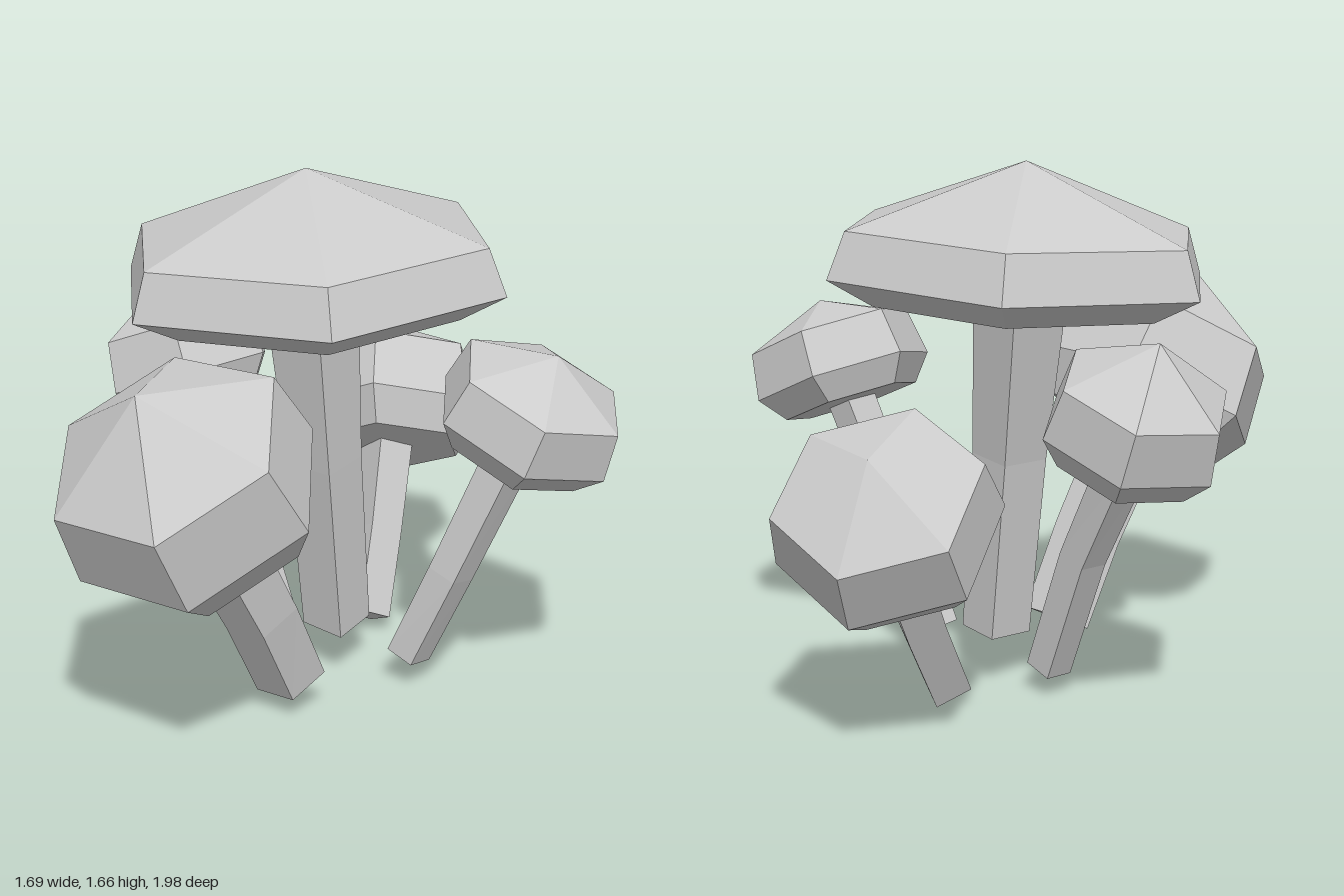
import * as THREE from 'three';

const material = new THREE.MeshStandardMaterial({ color: 0xcccccc, flatShading: true });
const vec = (a) => new THREE.Vector3(a[0], a[1], a[2]);

// Hexagonal cap: peaked top, flaring side band, bevel below and flat underside.
// turn is the compass heading of one corner, in degrees.
function makeCap({ centre, lean, turn, radius, peak, band }) {
  const profile = [
    [0, -1.57 * band], [0.83 * radius, -1.57 * band], [1.09 * radius, -band], [radius, 0], [0, peak],
  ].map(([r, y]) => new THREE.Vector2(r, y));
  const angle = THREE.MathUtils.degToRad(turn);
  const y = new THREE.Vector3(lean[0], 1, lean[1]).normalize();
  const z = new THREE.Vector3(Math.sin(angle), 0, Math.cos(angle));
  z.y = -(lean[0] * z.x + lean[1] * z.z);
  z.normalize();
  const x = new THREE.Vector3().crossVectors(y, z);
  const geometry = new THREE.LatheGeometry(profile, 6).toNonIndexed();
  geometry.applyMatrix4(new THREE.Matrix4().makeBasis(x, y, z).setPosition(vec(centre)));
  geometry.computeVertexNormals();
  const mesh = new THREE.Mesh(geometry, material);
  mesh.name = 'cap';
  return mesh;
}

// Four-sided stem, bent once at the knee and running up into the cap.
function makeStem({ centre, lean, band, base, knee, width, taper = 1.1, twist = 0 }) {
  const axis = new THREE.Vector3(lean[0], 1, lean[1]).normalize();
  const points = [vec(base), vec(knee), vec(centre).addScaledVector(axis, -1.4 * band)];
  const angle = THREE.MathUtils.degToRad(twist);
  const side = new THREE.Vector3(Math.cos(angle), 0, Math.sin(angle));
  const rings = points.map((p, i) => {
    const along = points[Math.min(i + 1, 2)].clone().sub(points[Math.max(i - 1, 0)]).normalize();
    const u = side.clone().projectOnPlane(along).normalize();
    const v = new THREE.Vector3().crossVectors(u, along);
    const scale = 1 + (taper - 1) * (i / 2) ** 2;
    u.multiplyScalar(width[0] * scale);
    v.multiplyScalar(width[1] * scale);
    return [p.clone().add(u), p.clone().add(v), p.clone().sub(u), p.clone().sub(v)];
  });

  // Side faces, then both ends
  const corners = [];
  for (let i = 0; i < 2; i++) {
    for (let k = 0; k < 4; k++) {
      const n = (k + 1) % 4;
      const [a, b, c, d] = [rings[i][k], rings[i][n], rings[i + 1][k], rings[i + 1][n]];
      corners.push(a, c, b, b, c, d);
    }
  }
  const [b, , t] = rings;
  corners.push(b[0], b[1], b[2], b[0], b[2], b[3], t[0], t[2], t[1], t[0], t[3], t[2]);
  const geometry = new THREE.BufferGeometry().setFromPoints(corners);
  geometry.computeVertexNormals();
  const mesh = new THREE.Mesh(geometry, material);
  mesh.name = 'stem';
  return mesh;
}

function makeMushroom(name, spec) {
  const mushroom = new THREE.Group();
  mushroom.name = name;
  mushroom.add(makeCap(spec), makeStem(spec));
  return mushroom;
}

export function createModel() {
  const model = new THREE.Group();
  model.name = 'mushroomCluster';

  // Tall, broad mushroom in the middle
  model.add(makeMushroom('centreMushroom', {
    centre: [-0.065, 1.453, -0.015], lean: [-0.045, 0], turn: 0, radius: 0.585, peak: 0.21, band: 0.146,
    base: [0.02, 0.165, -0.01], knee: [-0.02, 0.73, 0.01], width: [0.108, 0.135], taper: 1.35,
  }));

  // Smaller mushrooms leaning outward around it
  model.add(makeMushroom('frontRightMushroom', {
    centre: [-0.53, 1.03, 0.665], lean: [-0.428, 0.439], turn: -7, radius: 0.365, peak: 0.215, band: 0.245,
    base: [-0.155, 0.105, 0.3], knee: [-0.25, 0.375, 0.41], width: [0.11, 0.08],
  }));
  model.add(makeMushroom('frontLeftMushroom', {
    centre: [0.605, 1.06, 0.335], lean: [0.355, 0.247], turn: -10, radius: 0.272, peak: 0.113, band: 0.152,
    base: [0.235, 0.107, 0.157], knee: [0.355, 0.415, 0.225], width: [0.073, 0.057],
  }));
  model.add(makeMushroom('backLeftMushroom', {
    centre: [0.282, 0.8, -0.755], lean: [0.114, -0.772], turn: -18, radius: 0.312, peak: 0.14, band: 0.2,
    base: [0.147, 0.056, -0.26], knee: [0.205, 0.305, -0.42], width: [0.082, 0.088], twist: 21,
  }));
  model.add(makeMushroom('backRightMushroom', {
    centre: [-0.46, 1.045, -0.475], lean: [-0.26, -0.326], turn: -5, radius: 0.264, peak: 0.16, band: 0.165,
    base: [-0.16, 0.085, -0.15], knee: [-0.27, 0.48, -0.27], width: [0.07, 0.06],
  }));
  return model;
}
